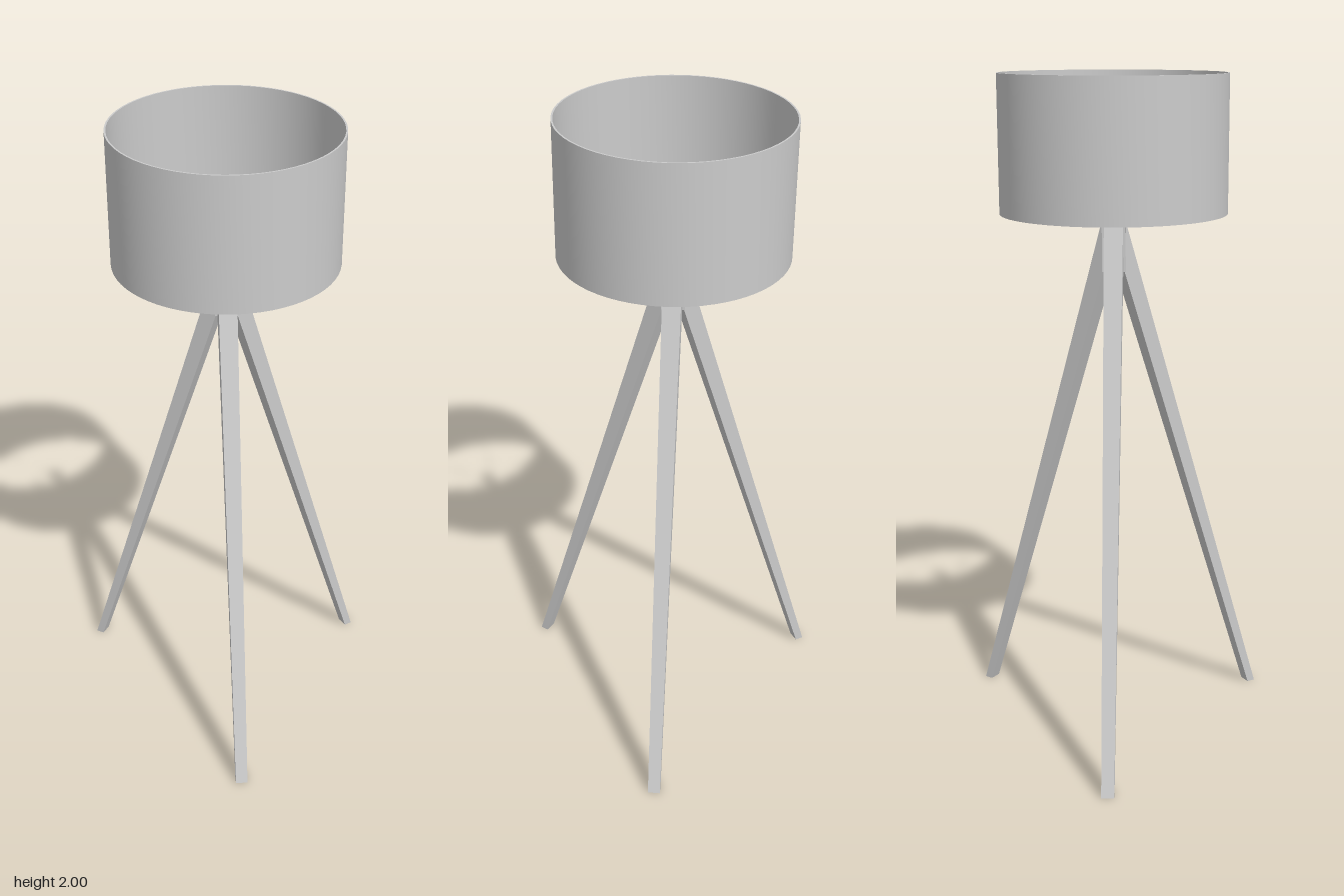
import * as THREE from 'three';
import { toCreasedNormals } from 'three/addons/utils/BufferGeometryUtils.js';

const CENTRE = [-0.011, -0.095]; // lamp axis in x, z

export function createModel() {
  const model = new THREE.Group();
  model.name = 'tripodLamp';
  const lamp = new THREE.Group();
  lamp.name = 'lamp';
  lamp.position.set(CENTRE[0], 0, CENTRE[1]);
  model.add(lamp);
  const material = new THREE.MeshStandardMaterial({ color: 0xcccccc });

  const add = (name, geometry, y = 0) => {
    const mesh = new THREE.Mesh(geometry, material);
    mesh.name = name;
    mesh.position.y = y;
    lamp.add(mesh);
    return mesh;
  };
  const lathe = (pairs, segments) => toCreasedNormals(
    new THREE.LatheGeometry(pairs.map(([r, y]) => new THREE.Vector2(r, y)), segments), 0.6);

  // Drum shade: thin wall, open above and below
  const R = 0.332, wall = 0.005, low = 1.602, high = 2;
  add('shade', lathe([[R, low], [R, high], [R - wall, high], [R - wall, low], [R, low]], 64));

  // Eight wire spokes carrying the shade
  for (let i = 0; i < 8; i++) {
    const wire = new THREE.CylinderGeometry(0.0015, 0.0015, R - wall / 2, 6);
    wire.rotateX(Math.PI / 2).translate(0, 0, (R - wall / 2) / 2);
    add('spoke', wire, low + 0.003).rotation.y = i * Math.PI / 4;
  }

  // Triangular block that the legs are fixed to
  const block = new THREE.CylinderGeometry(0.04, 0.04, 0.145, 3, 1, false, Math.PI);
  add('hub', toCreasedNormals(block, 0.6), 1.5025);

  // Collar, socket and bulb
  add('socket', lathe([[0, 1.57], [0.025, 1.57], [0.025, 1.605], [0.013, 1.605],
    [0.013, 1.645], [0, 1.645]], 24));
  add('bulb', lathe([[0, 1.64], [0.011, 1.64], [0.015, 1.652], [0.022, 1.663], [0.025, 1.675],
    [0.0225, 1.687], [0.0145, 1.696], [0, 1.7]], 24));

  // Legs: a box reshaped so it tapers, with a plumb face on the hub and a flat foot
  const legGeometry = () => {
    const box = new THREE.BoxGeometry(1, 1, 1);
    const p = box.attributes.position;
    for (let i = 0; i < p.count; i++) {
      const top = p.getY(i) > 0, outer = p.getZ(i) > 0;
      const halfWidth = top ? 0.028 : 0.0185;
      const [r, y] = top ? (outer ? [0.025, 1.575] : [0.02, 1.43])
        : (outer ? [0.521, 0] : [0.495, 0]);
      p.setXYZ(i, Math.sign(p.getX(i)) * halfWidth, y, r);
    }
    box.computeVertexNormals();
    return box;
  };
  const legs = { frontLeg: 0, backLeftLeg: 116.8, backRightLeg: -121.7 };
  for (const [name, degrees] of Object.entries(legs)) {
    add(name, legGeometry()).rotation.y = THREE.MathUtils.degToRad(degrees);
  }

  return model;
}
